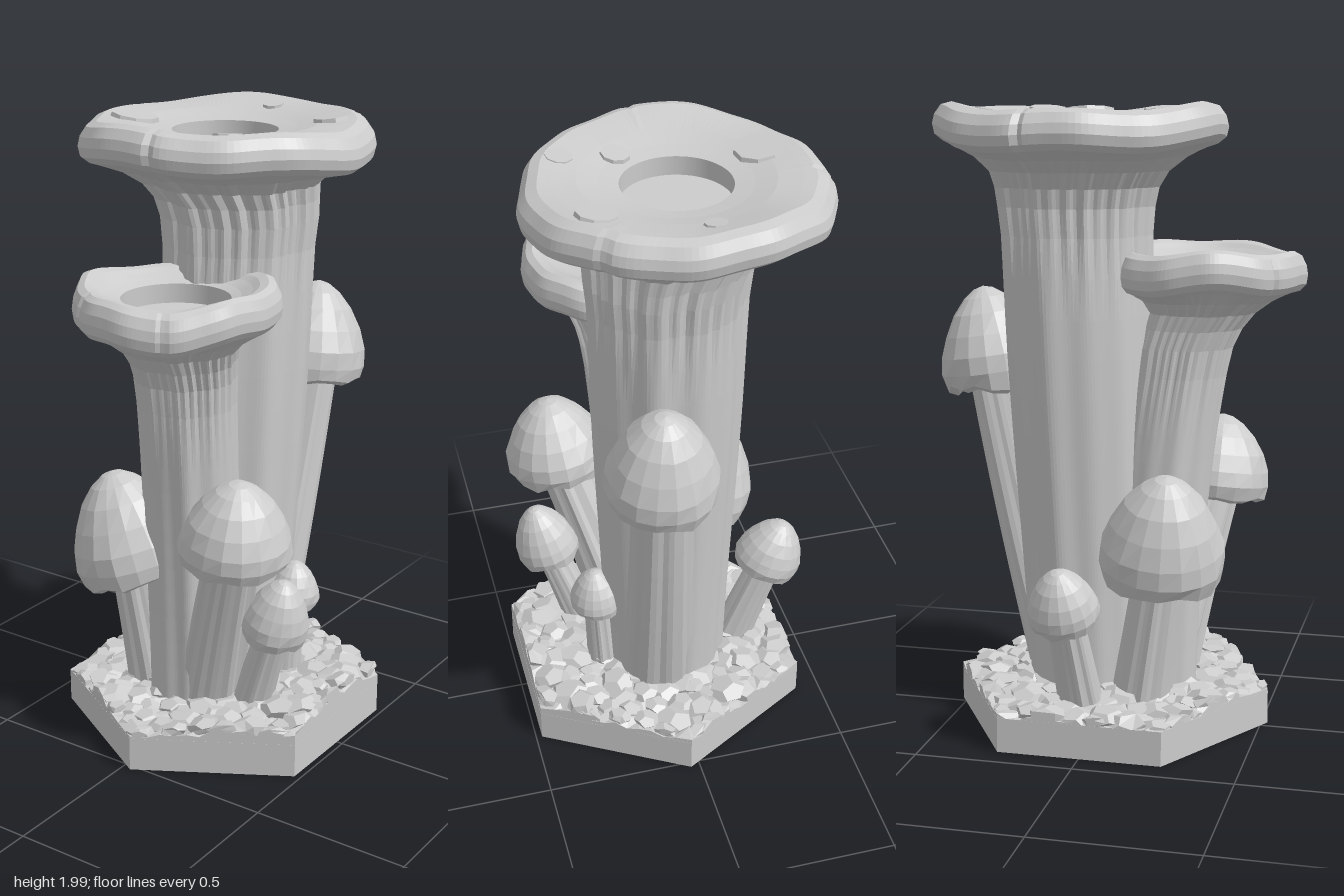
import * as THREE from 'three';

const material = new THREE.MeshStandardMaterial({ color: 0xcccccc, flatShading: true });
const { lerp, clamp, smoothstep } = THREE.MathUtils;
const TAU = Math.PI * 2;
const HEX_X = 0.03; // the base sits slightly off the x centre

// Repeatable pseudo-random value in 0..1
const hash = (a, b = 0) => {
  const s = Math.sin(a * 127.1 + b * 311.7) * 43758.5453;
  return s - Math.floor(s);
};

function addMesh(parent, name, geometry) {
  const mesh = new THREE.Mesh(geometry, material);
  mesh.name = name;
  parent.add(mesh);
  return mesh;
}

// Skin of rings: point(i, j, angle) returns [x, y, z]; rings run upward, then inward
function ringSurface(rings, segments, point) {
  const pos = [], index = [];
  for (let i = 0; i < rings; i++)
    for (let j = 0; j < segments; j++) pos.push(...point(i, j, (j / segments) * TAU));
  for (let i = 0; i < rings - 1; i++)
    for (let j = 0; j < segments; j++) {
      const a = i * segments + j, b = i * segments + ((j + 1) % segments);
      index.push(a, b, b + segments, a, b + segments, a + segments);
    }
  const g = new THREE.BufferGeometry();
  g.setAttribute('position', new THREE.Float32BufferAttribute(pos, 3));
  g.setIndex(index);
  g.computeVertexNormals();
  return g;
}

// Irregular vertical ribs round a stem, and finer gills under a funnel
const ribs = (a, seed) =>
  0.45 * Math.sin(7 * a + seed) + 0.35 * Math.sin(11 * a + 2 * seed);
const gills = (a, seed) => Math.sin(34 * a + 1.5 * Math.sin(3 * a + seed)) + 0.5 * Math.sin(21 * a + seed);

// Large funnel mushroom: ribbed stem, gilled flare, rolled rim and round socket
function funnel(parent, name, o) {
  const { Y, R, n, h, base, neck, head, bend, seed, notches } = o;
  const profile = [];
  for (let k = 0; k <= 12; k++) {
    const t = k / 12;
    profile.push([lerp(base[2], n, smoothstep(t, 0, 0.9)), lerp(0.08, Y - 0.4, t)]);
  }
  const add = (r, d) => profile.push([r, Y - d]);
  add(n * 1.03, 0.31);
  add(n * 1.07, 0.25);
  add(n * 1.16, 0.2);
  add(lerp(n, R, 0.4), 0.16);
  add(lerp(n, R, 0.7), 0.135);
  add(R * 0.93, 0.125);
  add(R * 0.985, 0.105);
  add(R, 0.075);
  add(R * 0.985, 0.045);
  add(R * 0.94, 0.015);
  add(R * 0.87, 0.003);
  add(R * 0.79, 0.008);
  add(lerp(h, R, 0.42), 0.02);
  add(lerp(h, R, 0.2), 0.035);
  add(h, 0.045);
  add(h, 0.045);
  add(h, 0.105);
  add(h, 0.105);
  add(0, 0.105);
  const centre = (y) => {
    const t = Math.pow(clamp(y / (Y - 0.13), 0, 1), bend), s = smoothstep(y, Y - 0.3, Y - 0.13);
    return [0, 1].map((k) => lerp(lerp(base[k], neck[k], t), head[k], s));
  };
  const wave = (a) => 0.6 * Math.sin(2 * a + seed) + 0.4 * Math.sin(5 * a + 2 * seed);
  const geometry = ringSurface(profile.length, 144, (i, j, a) => {
    let [r, y] = profile[i];
    const [cx, cz] = centre(y);
    const outer = smoothstep(r, Math.max(n, h) * 1.1, R);
    if (i < 18) {
      const flare = smoothstep(y, Y - 0.65, Y - 0.25) * (1 - 0.7 * outer);
      r *= 1 + 0.055 * ribs(a, seed) * (1 - outer) + 0.022 * gills(a, seed) * flare;
    }
    r *= 1 + outer * (0.02 * Math.sin(3 * a + seed * 1.7) + 0.008 * Math.sin(13 * a));
    y += 0.022 * outer * wave(a);
    // Small splits in the rim
    for (const c of notches) {
      const d = Math.atan2(Math.sin(a - c), Math.cos(a - c)) / 0.022;
      r -= 0.035 * R * outer * Math.exp(-d * d);
    }
    return [cx + r * Math.sin(a), y, cz + r * Math.cos(a)];
  });
  addMesh(parent, name, geometry);
}

// Small capped mushroom: bent stem and bell cap; cap spans y0..y1 and leans by [x, z] radians
function mushroom(parent, name, { base, top, y0, y1, R, r0, r1, lean, bow = 0.42, seed }) {
  const group = new THREE.Group();
  group.name = name;
  const H = y1 - y0;
  const path = new THREE.QuadraticBezierCurve3(
    new THREE.Vector3(base[0], 0.08, base[1]),
    new THREE.Vector3(lerp(base[0], top[0], bow), lerp(0.08, y0, 0.55), lerp(base[1], top[1], bow)),
    new THREE.Vector3(top[0], y0 + H * 0.35, top[1]));
  addMesh(group, 'stem', ringSurface(12, 36, (i, j, a) => {
    const t = i / 11, p = path.getPoint(t);
    const r = lerp(r0, r1, Math.pow(t, 0.7)) * (1 + 0.09 * ribs(a, seed));
    return [p.x + r * Math.sin(a), p.y, p.z + r * Math.cos(a)];
  }));
  const profile = [[0.35, 0.18], [0.78, 0.04], [0.94, 0.08], [1, 0.22], [0.97, 0.38],
    [0.84, 0.57], [0.63, 0.76], [0.39, 0.9], [0.18, 0.975], [0, 1]];
  const cap = addMesh(group, 'cap', ringSurface(profile.length, 18, (i, j, a) => {
    const [pr, ph] = profile[i];
    const r = R * pr * (0.98 + 0.04 * hash(j + seed, i));
    // Ragged lower lip
    const lip = i === 1 || i === 2 ? 0.1 * (hash(j, seed) - 0.4) : 0;
    return [r * Math.sin(a), H * (ph - 0.4 + lip), r * Math.cos(a)];
  }));
  cap.position.set(top[0], y0 + H * 0.4, top[1]);
  cap.rotation.set(lean[1], 0, -lean[0]);
  parent.add(group);
}

// Distance from the base centre to its hexagonal edge
const hexEdge = (a) => {
  const s = Math.PI / 3, m = ((a % s) + s) % s;
  return 0.45 / Math.cos(m - s / 2);
};
// Ground height of the rubble, higher towards +x
const ground = (x, z) => 0.125 + 0.02 * clamp(x / 0.45, -0.6, 1) + 0.04 * Math.exp(-(x * x + z * z) / 0.08)
  + 0.035 * Math.exp(-((x - 0.4) ** 2 + (z + 0.02) ** 2) / 0.03);

function buildBase(parent) {
  const slab = addMesh(parent, 'baseSlab', new THREE.CylinderGeometry(0.52, 0.52, 0.11, 6));
  slab.position.set(HEX_X, 0.055, 0);
  // Uneven mound covering the slab
  const mound = addMesh(parent, 'rubbleMound', ringSurface(14, 72, (i, j, a) => {
    const t = i === 0 ? 1 : 1 - (i - 1) / 12;
    const r = hexEdge(a) * t, x = r * Math.sin(a), z = r * Math.cos(a);
    const y = i === 0 ? 0.1 : ground(x, z) + 0.03 * (hash(i, j) - 0.6) * Math.min(1, t * 2);
    return [x, y, z];
  }));
  mound.position.x = HEX_X;
  // Loose flat stones, trimmed to the hexagon
  const stones = new THREE.Group();
  stones.name = 'stones';
  stones.position.x = HEX_X;
  for (let k = 0; k < 150; k++) {
    const a0 = k * 2.39996, r0 = Math.sqrt((k + 0.5) / 150) * hexEdge(a0);
    const cx = r0 * Math.sin(a0), cz = r0 * Math.cos(a0);
    const size = 0.032 + 0.032 * hash(k, 3);
    const g = new THREE.DodecahedronGeometry(size, 0);
    g.rotateX(hash(k, 1) * 6).rotateY(hash(k, 2) * 6).scale(1.15, 0.55, 1.15);
    g.rotateZ((hash(k, 5) - 0.5) * 0.8);
    g.translate(cx, ground(cx, cz) + 0.02 * (hash(k, 4) - 0.6), cz);
    const p = g.attributes.position;
    for (let i = 0; i < p.count; i++) {
      const x = p.getX(i), z = p.getZ(i);
      const f = Math.min(1, hexEdge(Math.atan2(x, z)) / Math.hypot(x, z));
      p.setXYZ(i, x * f, p.getY(i), z * f);
    }
    addMesh(stones, 'stone', g);
  }
  parent.add(stones);
}

export function createModel() {
  const model = new THREE.Group();
  model.name = 'mushroomCluster';
  buildBase(model);

  funnel(model, 'tallFunnel', {
    Y: 1.98, R: 0.455, n: 0.235, h: 0.165, base: [0.005, -0.05, 0.2], neck: [0.015, -0.12], head: [-0.025, -0.088],
    bend: 0.8, seed: 1.3, notches: [-1.75, 2.42, 0.1],
  });
  funnel(model, 'shortFunnel', {
    Y: 1.54, R: 0.312, n: 0.15, h: 0.165, base: [0.01, 0.14, 0.145], neck: [0.06, 0.265], head: [0.062, 0.297],
    bend: 2.2, seed: 4.1, notches: [-0.6, 0.5],
  });

  // Flat warts on the tall cap: x, z, radius
  for (const [x, z, r] of [[-0.3, 0.01, 0.08], [0.25, -0.27, 0.065], [0.11, 0.1, 0.048],
    [0.28, 0.09, 0.046], [-0.05, -0.4, 0.036]]) {
    const wart = addMesh(model, 'wart', new THREE.CylinderGeometry(r * 0.93, r, 0.02, 9));
    const dx = x + 0.025, dz = z + 0.088, d = Math.hypot(dx, dz);
    wart.position.set(x, lerp(1.934, 1.966, clamp((d - 0.165) / 0.16, 0, 1)), z);
    wart.quaternion.setFromUnitVectors(new THREE.Vector3(0, 1, 0),
      new THREE.Vector3(-dx / d * 0.15, 1, -dz / d * 0.15).normalize());
  }

  mushroom(model, 'tallBackMushroom', { base: [0.05, -0.14], top: [0.105, -0.425], y0: 1.05, y1: 1.4, R: 0.175, r0: 0.125, r1: 0.088, lean: [0, -0.15], bow: 0.58, seed: 2 });
  mushroom(model, 'frontRightMushroom', { base: [-0.14, 0.13], top: [-0.19, 0.215], y0: 0.5, y1: 0.87, R: 0.198, r0: 0.1, r1: 0.075, lean: [-0.25, 0.1], seed: 5 });
  mushroom(model, 'frontLeftMushroom', { base: [0.075, 0.15], top: [0.285, 0.305], y0: 0.68, y1: 0.97, R: 0.175, r0: 0.115, r1: 0.085, lean: [0.12, 0.08], seed: 7 });
  mushroom(model, 'smallLeftMushroom', { base: [0.22, 0.14], top: [0.36, 0.185], y0: 0.4, y1: 0.625, R: 0.107, r0: 0.075, r1: 0.05, lean: [0.25, 0.05], seed: 11 });
  mushroom(model, 'tinyLeftMushroom', { base: [0.22, -0.08], top: [0.245, -0.095], y0: 0.39, y1: 0.55, R: 0.088, r0: 0.055, r1: 0.042, lean: [0.05, -0.03], seed: 13 });
  mushroom(model, 'smallRightMushroom', { base: [-0.24, -0.03], top: [-0.375, -0.06], y0: 0.4, y1: 0.6, R: 0.113, r0: 0.075, r1: 0.055, lean: [-0.35, -0.05], seed: 17 });
  return model;
}
